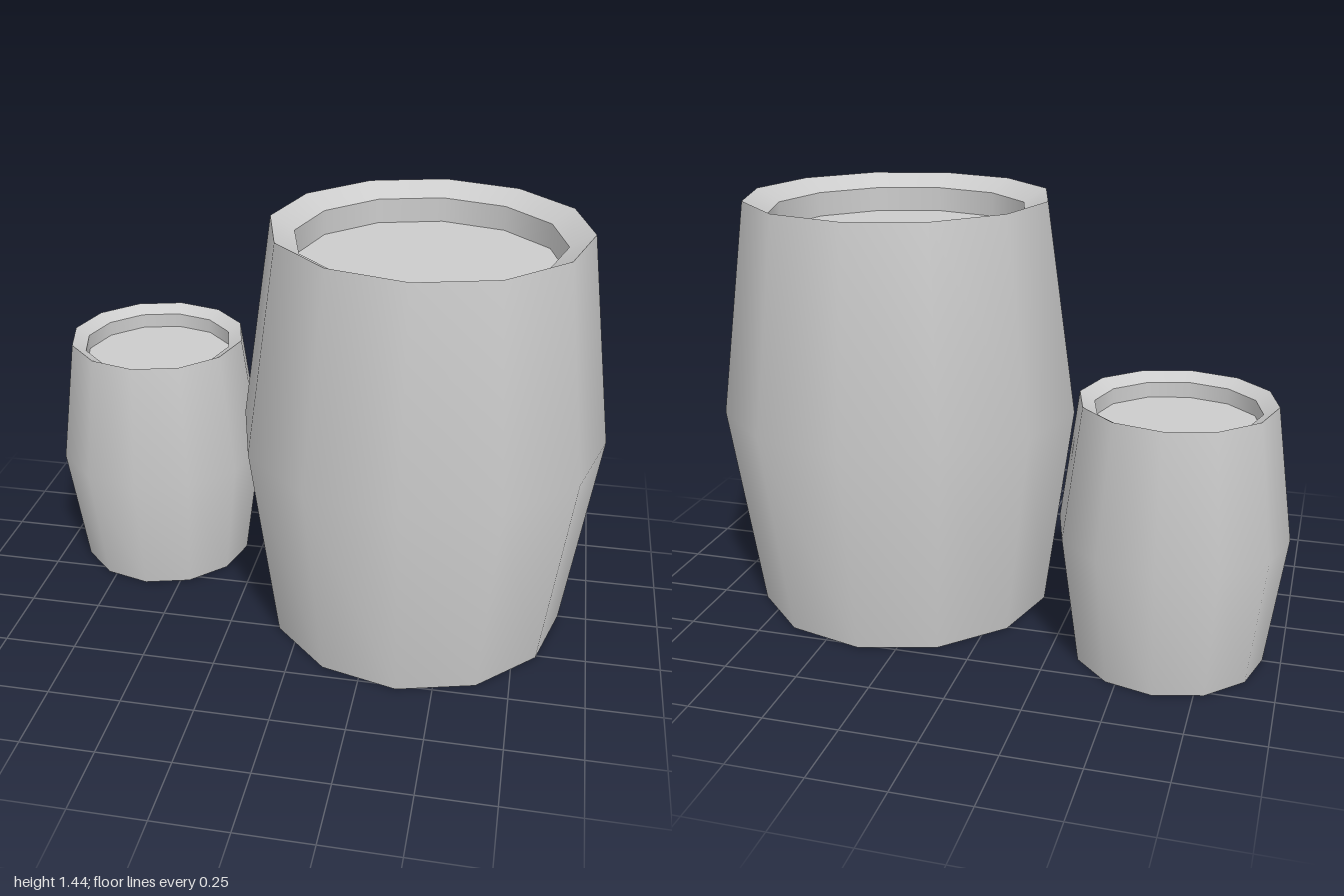
import * as THREE from 'three';

const SIDES = 12;
const HEIGHT = 1.44;
const BEVEL = 0.045; // how far the rims slope inwards
const LID = 0.13; // depth of the lid below the top

// Each section is its own lathe, so shading is smooth within it and crisp between sections.
const SECTIONS = {
  staves: [[0.52, 0], [0.62, HEIGHT / 2], [0.52, HEIGHT]],
  topRim: [[0.52, HEIGHT], [0.44, HEIGHT - BEVEL]],
  innerWall: [[0.44, HEIGHT - BEVEL], [0.44, HEIGHT - LID]],
  lid: [[0.44, HEIGHT - LID], [0, HEIGHT - LID]],
  bottomRim: [[0.44, BEVEL], [0.52, 0]],
  base: [[0, BEVEL], [0.44, BEVEL]],
};

function createBarrel(name, material) {
  const barrel = new THREE.Group();
  barrel.name = name;
  for (const [part, profile] of Object.entries(SECTIONS)) {
    const points = profile.map(([r, y]) => new THREE.Vector2(r, y));
    const mesh = new THREE.Mesh(new THREE.LatheGeometry(points, SIDES), material);
    mesh.name = part;
    barrel.add(mesh);
  }
  return barrel;
}

export function createModel() {
  const model = new THREE.Group();
  model.name = 'barrels';
  const material = new THREE.MeshStandardMaterial({ color: 0xcccccc });

  // Large barrel
  const large = createBarrel('largeBarrel', material);
  large.position.set(0.38, 0, 0);

  // Small barrel, behind and to the side
  const small = createBarrel('smallBarrel', material);
  small.position.set(-0.625, 0, -0.245);
  small.scale.set(0.606, 0.611, 0.606);

  model.add(large, small);
  return model;
}
